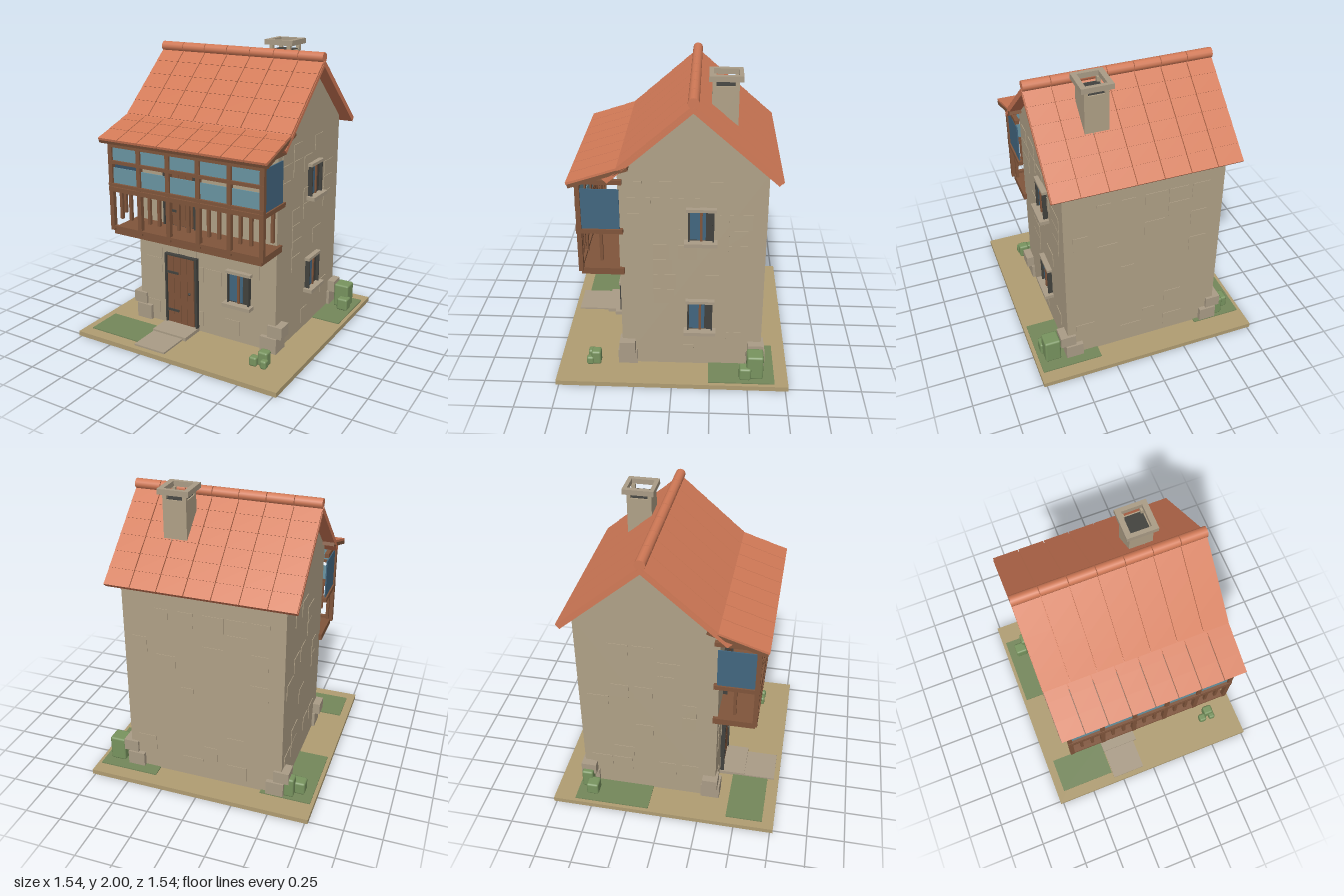
import * as THREE from 'three';
import { RoundedBoxGeometry } from 'three/addons/geometries/RoundedBoxGeometry.js';

const paint = (name, color) => Object.assign(new THREE.MeshStandardMaterial({ color }), { name });
const M = {
  wall: paint('wall stone', 0xb0a187), trim: paint('trim stone', 0xaa9c86),
  ground: paint('sandy ground', 0xb09d72), grass: paint('grass', 0x74875a),
  bush: paint('bush leaves', 0x78945f), tile: paint('roof tile', 0xd27a57),
  wood: paint('brown wood', 0x80553b), iron: paint('dark iron', 0x42423e),
  pane: paint('pale glass', 0x6a95a3), glass: paint('deep glass', 0x42667f),
};

// Box given by its limits on each axis
function box(parent, name, mat, x0, x1, y0, y1, z0, z1) {
  const m = new THREE.Mesh(new THREE.BoxGeometry(x1 - x0, y1 - y0, z1 - z0), mat);
  m.position.set((x0 + x1) / 2, (y0 + y1) / 2, (z0 + z1) / 2);
  m.name = name;
  parent.add(m);
  return m;
}

function group(parent, name) {
  const g = new THREE.Group();
  g.name = name;
  parent.add(g);
  return g;
}

function makeRandom(seed) {
  return () => (seed = (seed * 16807) % 2147483647) / 2147483647;
}

// Tiled slope: starts at the local origin and descends along +z
function slope(parent, name, length, angle, rows, cols, deckMat) {
  const g = group(parent, name), W = 1.24, w = W / cols, l = length / rows;
  box(g, 'roofDeck', deckMat, -W / 2, W / 2, -0.034, -0.01, 0, length);
  for (let r = 0; r < rows; r++) for (let c = 0; c < cols; c++) {
    const x = -W / 2 + c * w;
    const t = box(g, 'roofTile', M.tile, x + 0.003, x + w - 0.003, -0.012, 0.004, r * l, r * l + l + 0.004);
    t.rotation.x = -0.02;
  }
  g.rotation.x = angle;
  return g;
}

// Window facing local +z, with its centre at the local origin
function makeWindow(parent, name) {
  const g = group(parent, name);
  box(g, 'windowSurround', M.iron, -0.08, 0.08, -0.105, 0.105, -0.02, 0.012);
  for (const s of [-1, 1]) box(g, 'windowJamb', M.iron, s * 0.077 - 0.005, s * 0.077 + 0.005, -0.105, 0.105, 0, 0.032);
  box(g, 'windowGlass', M.glass, -0.07, 0.03, -0.095, 0.095, 0.012, 0.016);
  box(g, 'windowMullion', M.wood, -0.007, 0.009, -0.1, 0.1, 0.012, 0.026);
  box(g, 'windowLintel', M.trim, -0.095, 0.095, 0.103, 0.123, -0.01, 0.035);
  box(g, 'windowSill', M.trim, -0.105, 0.105, -0.128, -0.103, -0.01, 0.064);
  return g;
}

// Plank door with strap hinges
function makeDoor(parent, name, y) {
  const g = group(parent, name);
  box(g, 'doorFrame', M.iron, -0.312, -0.052, 0, 0.53, 0.33, 0.35);
  for (const x of [-0.312, -0.064]) box(g, 'doorJamb', M.iron, x, x + 0.012, 0, 0.53, 0.34, 0.37);
  box(g, 'doorHead', M.iron, -0.312, -0.052, 0.518, 0.53, 0.34, 0.37);
  for (let i = 0; i < 4; i++) {
    const x = -0.296 + i * 0.054;
    box(g, 'doorPlank', M.wood, x, x + 0.051, 0.006, 0.514, 0.345, 0.36);
  }
  for (const h of [0.1, 0.385]) box(g, 'strapHinge', M.iron, -0.296, -0.205, h, h + 0.016, 0.358, 0.366);
  const knob = new THREE.Mesh(new THREE.SphereGeometry(0.01, 8, 6), M.iron);
  knob.name = 'doorKnob';
  knob.position.set(-0.115, 0.26, 0.366);
  g.add(knob);
  g.position.y = y;
}

export function createModel() {
  const model = new THREE.Group();
  model.name = 'house';

  // Ground plate, grass patches and entrance steps
  box(model, 'groundPlate', M.ground, -0.77, 0.77, 0, 0.033, -0.77, 0.77);
  for (const [x0, x1, z0, z1] of [[-0.745, -0.4, -0.62, -0.1], [0.33, 0.745, -0.68, -0.24], [-0.715, -0.32, 0.44, 0.69]])
    box(model, 'grassPatch', M.grass, x0, x1, 0.03, 0.04, z0, z1);
  box(model, 'lowerStep', M.trim, -0.315, -0.075, 0.03, 0.045, 0.5, 0.735);
  box(model, 'upperStep', M.trim, -0.32, -0.05, 0.03, 0.058, 0.33, 0.52);

  // Gabled walls, extruded along x
  const s = new THREE.Shape([[-0.34, 0.033], [0.59, 0.033], [0.59, 1.455], [0.125, 1.865], [-0.34, 1.455]].map(p => new THREE.Vector2(...p)));
  const walls = new THREE.Mesh(new THREE.ExtrudeGeometry(s, { depth: 1.08, bevelEnabled: false }), M.wall);
  walls.name = 'walls';
  walls.rotation.y = Math.PI / 2;
  walls.position.x = -0.54;
  model.add(walls);

  // Slightly raised stones scattered over the four walls
  const rnd = makeRandom(77);
  const faces = [[0, 0, 0.34, 0.48, 0.68], [0, Math.PI, 0.59, 0.48, 1.35], [-0.125, Math.PI / 2, 0.54, 0.41, 1.4], [-0.125, -Math.PI / 2, 0.54, 0.41, 1.4]];
  for (const [cz, turn, dist, half, top] of faces) {
    const g = group(model, 'wallStones');
    g.rotation.y = turn;
    if (cz) g.position.z = cz;
    for (let y = 0.08; y < top - 0.1; y += 0.11) for (let x = -half; x < half - 0.1; x += 0.16) {
      if (rnd() > 0.3) continue;
      const w = 0.09 + rnd() * 0.06;
      box(g, 'wallStone', M.wall, x, x + w, y, y + 0.105, dist - 0.01, dist + 0.004);
    }
  }

  // Stacked stones at the corners
  for (const sx of [-1, 1]) for (const front of [true, false]) {
    const g = group(model, 'cornerStones'), z = front ? 0.3 : -0.55, d = front ? 1 : -1;
    const add = (w, dep, y0, y1, cx) => box(g, 'cornerStone', M.trim, sx * cx - w / 2, sx * cx + w / 2, y0, y1, z - dep / 2 + d * 0.005, z + dep / 2 + d * 0.005);
    add(0.12, 0.13, 0.033, 0.14, 0.5);
    add(0.105, 0.105, 0.14, 0.223, 0.54);
  }

  // Doors and windows
  makeDoor(model, 'frontDoor', 0.045);
  makeDoor(model, 'balconyDoor', 0.785);
  makeWindow(model, 'frontWindow').position.set(0.272, 0.43, 0.34);
  for (const y of [0.43, 1.1]) {
    const w = makeWindow(model, 'sideWindow');
    w.rotation.y = Math.PI / 2;
    w.position.set(0.54, y, -0.178);
  }

  // Main roof: two mirrored slopes and a segmented ridge
  const roof = group(model, 'mainRoof');
  roof.position.set(0, 1.907, -0.125);
  const pitch = Math.atan2(0.47, 0.54), len = Math.hypot(0.47, 0.54);
  slope(roof, 'frontSlope', len, pitch, 6, 7, M.tile);
  const back = group(roof, 'backRoof');
  back.rotation.y = Math.PI;
  slope(back, 'backSlope', len, pitch, 6, 7, M.tile);
  for (let i = 0; i < 7; i++) {
    const ridge = new THREE.Mesh(new THREE.CylinderGeometry(0.034, 0.034, 1.24 / 7 - 0.005, 12), M.tile);
    ridge.name = 'ridgeTile';
    ridge.rotation.z = Math.PI / 2;
    ridge.position.set(-0.62 + (i + 0.5) * 1.24 / 7, 0.013, 0);
    roof.add(ridge);
  }

  // Balcony canopy
  const canopy = slope(model, 'balconyCanopy', 0.385, Math.atan2(0.12, 0.365), 3, 8, M.wood);
  canopy.position.set(0, 1.526, 0.275);

  // Chimney with an open cap
  const chimney = group(model, 'chimney');
  box(chimney, 'chimneyShaft', M.wall, 0.165, 0.32, 1.6, 1.93, -0.395, -0.23);
  box(chimney, 'chimneyFlue', M.iron, 0.175, 0.31, 1.93, 1.934, -0.385, -0.24);
  for (const x of [0.165, 0.295]) for (const z of [-0.395, -0.255])
    box(chimney, 'capSupport', M.wall, x, x + 0.025, 1.93, 1.966, z, z + 0.025);
  for (const x of [0.14, 0.31]) box(chimney, 'capSide', M.trim, x, x + 0.035, 1.965, 2, -0.42, -0.21);
  for (const z of [-0.42, -0.238]) box(chimney, 'capEnd', M.trim, 0.175, 0.31, 1.965, 2, z, z + 0.028);

  // Balcony floor, posts, rails, balusters and glazing
  const b = group(model, 'balcony');
  box(b, 'balconyFloor', M.wood, -0.562, 0.562, 0.74, 0.785, 0.31, 0.585);
  for (let i = 0; i < 6; i++) {
    const x = -0.565 + i * 0.226;
    box(b, 'balconyPost', M.wood, x - 0.015, x + 0.015, 0.77, 1.41, 0.57, 0.6);
    if (i === 5) break;
    for (const k of [1, 2]) {
      const c = x + k * 0.226 / 3;
      box(b, 'baluster', M.wood, c - 0.01, c + 0.01, 0.86, 1.055, 0.575, 0.595);
    }
    for (const y of [1.1, 1.245]) box(b, 'frontPane', M.pane, x + 0.01, x + 0.216, y, y + 0.105, 0.58, 0.587);
  }
  for (const [y0, y1, z] of [[0.785, 0.803, 0.6], [1.045, 1.075, 0.605], [1.08, 1.1, 0.605], [1.234, 1.256, 0.603], [1.345, 1.41, 0.6]])
    box(b, 'frontRail', M.wood, -0.58, 0.58, y0, y1, 0.575, z);
  for (const sx of [-1, 1]) {
    const x = sx * 0.565;
    box(b, 'sidePane', M.glass, x - 0.004, x + 0.004, 1.075, 1.347, 0.33, 0.572);
    box(b, 'sideMidRail', M.wood, x - 0.015, x + 0.015, 1.045, 1.075, 0.31, 0.6);
    box(b, 'sideTopRail', M.wood, x - 0.015, x + 0.015, 1.383, 1.412, 0.31, 0.6);
    box(b, 'sideBaluster', M.wood, x - 0.01, x + 0.01, 0.85, 1.05, 0.44, 0.46);
  }

  // Blocky bushes: centre x, centre z, width, height, depth
  for (const [x, z, w, h, d] of [[0.65, -0.55, 0.11, 0.175, 0.11], [0.68, -0.485, 0.08, 0.09, 0.08], [-0.645, -0.51, 0.09, 0.09, 0.085],
    [-0.59, -0.56, 0.07, 0.14, 0.08], [0.555, 0.52, 0.07, 0.1, 0.065], [0.5, 0.555, 0.055, 0.065, 0.055], [0.575, 0.56, 0.045, 0.06, 0.05]]) {
    const bush = new THREE.Mesh(new RoundedBoxGeometry(w, h, d, 2, 0.014), M.bush);
    bush.name = 'bush';
    bush.position.set(x, 0.036 + h / 2, z);
    model.add(bush);
  }
  return model;
}
